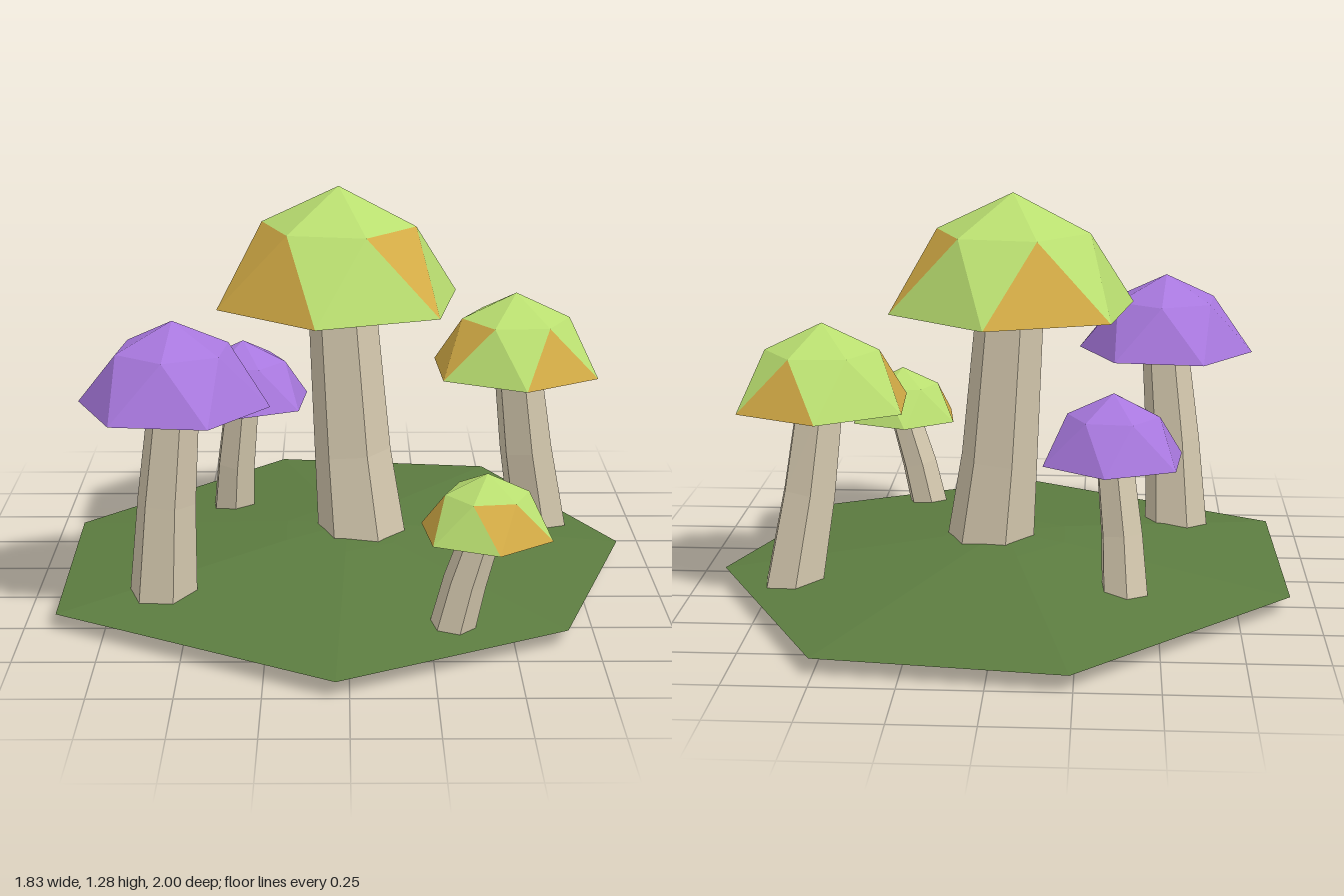
import * as THREE from 'three';

const SIDES = 6;

// Flat-shaded geometry from a list of triangles, each of three Vector3 corners
function facets(triangles) {
  const geometry = new THREE.BufferGeometry().setFromPoints(triangles.flat());
  geometry.computeVertexNormals();
  return geometry;
}

// Six points round a centre; degrees run from +x towards +z, and the ring tips with the lean
function ring([x, y, z], radius, degrees, lean = [0, 0]) {
  return Array.from({ length: SIDES }, (_, i) => {
    const a = THREE.MathUtils.degToRad(degrees + i * 60);
    const dx = radius * Math.cos(a), dz = radius * Math.sin(a);
    return new THREE.Vector3(x + dx, y - dx * lean[0] - dz * lean[1], z + dz);
  });
}

// Faceted dome: apex fan, then alternating up and down triangles to the rim
// upPatches and downPatches list the rim triangles that take the second colour
function makeCap({ centre: [x, z], base, top, radius, turn, upPatches = [], downPatches = [] }, colour, patch, gill) {
  const rim = ring([x, base, z], radius, turn);
  const mid = ring([x, base + (top - base) * 0.67, z], radius * 0.61, turn + 30);
  const apex = new THREE.Vector3(x, top, z);
  const under = new THREE.Vector3(x, base, z);
  const plain = [], patches = [], gills = [];
  for (let i = 0; i < SIDES; i++) {
    const next = (i + 1) % SIDES, prev = (i + SIDES - 1) % SIDES;
    plain.push([apex, mid[next], mid[i]]);
    (upPatches.includes(i) ? patches : plain).push([mid[i], rim[next], rim[i]]);
    (downPatches.includes(i) ? patches : plain).push([rim[i], mid[prev], mid[i]]);
    gills.push([under, rim[i], rim[next]]);
  }
  const group = new THREE.Group();
  group.name = 'cap';
  const add = (name, triangles, material) => {
    if (!triangles.length) return;
    const mesh = new THREE.Mesh(facets(triangles), material);
    mesh.name = name;
    group.add(mesh);
  };
  add('capDome', plain, colour);
  add('capPatches', patches, patch);
  add('capUnderside', gills, gill);
  return group;
}

// Hollow, slightly bent six-sided stem through three rings: [x, y, z, radius]
function makeStem(sections, turn, material) {
  const [first, , last] = sections;
  const rise = last[1] - first[1];
  const lean = [(last[0] - first[0]) / rise, (last[2] - first[2]) / rise];
  const rings = sections.map((s, k) => ring(s, s[3], turn, k === 2 ? [0, 0] : lean));
  const triangles = [];
  for (let k = 0; k < 2; k++) {
    for (let i = 0; i < SIDES; i++) {
      const n = (i + 1) % SIDES;
      triangles.push([rings[k][i], rings[k + 1][i], rings[k][n]]);
      triangles.push([rings[k][n], rings[k + 1][i], rings[k + 1][n]]);
    }
  }
  const mesh = new THREE.Mesh(facets(triangles), material);
  mesh.name = 'stem';
  return mesh;
}

// Low seven-sided mound of grass
function makeGround(material) {
  const outline = [[-0.24, -1], [0.51, -0.91], [0.91, -0.11], [0.66, 0.64], [-0.04, 1], [-0.9, 0.51], [-0.915, -0.3]];
  const edge = outline.map(([x, z]) => new THREE.Vector3(x, 0.058, z));
  const inner = outline.map(([x, z]) => new THREE.Vector3(x * 0.22, 0.15, z * 0.22));
  const peak = new THREE.Vector3(0, 0.165, 0);
  const triangles = [];
  outline.forEach((_, i) => {
    const n = (i + 1) % outline.length;
    triangles.push([peak, inner[n], inner[i]], [inner[i], inner[n], edge[i]], [edge[i], inner[n], edge[n]]);
  });
  const mesh = new THREE.Mesh(facets(triangles), material);
  mesh.name = 'ground';
  return mesh;
}

export function createModel() {
  const paint = (name, color, side = THREE.FrontSide) => {
    const material = new THREE.MeshStandardMaterial({ color, flatShading: true, side });
    material.name = name;
    return material;
  };
  const grass = paint('grass green', 0x5c7c40, THREE.DoubleSide);
  const cream = paint('stem cream', 0xd3c7ad, THREE.DoubleSide);
  const lime = paint('cap lime', 0xb9de70);
  const amber = paint('cap amber', 0xd4ac46);
  const violet = paint('cap violet', 0xa878de);
  const gill = paint('gill brown', 0x968a7d);

  const mushrooms = [
    {
      name: 'tallMushroom', colour: lime, stemTurn: 8,
      stem: [[0.055, 0.04, 0.01, 0.15], [0.015, 0.42, -0.01, 0.125], [-0.02, 0.925, -0.025, 0.11]],
      cap: { centre: [-0.03, -0.03], base: 0.92, top: 1.29, radius: 0.41, turn: -20, upPatches: [2, 4], downPatches: [0, 1, 3] },
    },
    {
      name: 'leftMushroom', colour: lime, stemTurn: 20,
      stem: [[0.66, 0.032, -0.27, 0.1], [0.605, 0.36, -0.235, 0.09], [0.57, 0.645, -0.215, 0.082]],
      cap: { centre: [0.56, -0.21], base: 0.64, top: 0.9, radius: 0.295, turn: 27, upPatches: [0, 2, 4], downPatches: [2] },
    },
    {
      name: 'smallFrontMushroom', colour: lime, stemTurn: 15,
      stem: [[0.3, 0.025, 0.635, 0.068], [0.345, 0.22, 0.645, 0.063], [0.395, 0.39, 0.655, 0.06]],
      cap: { centre: [0.405, 0.67], base: 0.385, top: 0.567, radius: 0.205, turn: 23, upPatches: [0, 2], downPatches: [1] },
    },
    {
      name: 'rightMushroom', colour: violet, stemTurn: 10,
      stem: [[-0.58, 0.03, 0.39, 0.11], [-0.56, 0.39, 0.4, 0.092], [-0.53, 0.705, 0.41, 0.08]],
      cap: { centre: [-0.53, 0.405], base: 0.7, top: 0.96, radius: 0.295, turn: 6 },
    },
    {
      name: 'smallBackMushroom', colour: violet, stemTurn: 25,
      stem: [[-0.4, 0.026, -0.385, 0.08], [-0.385, 0.27, -0.345, 0.07], [-0.36, 0.505, -0.315, 0.063]],
      cap: { centre: [-0.355, -0.315], base: 0.5, top: 0.71, radius: 0.235, turn: 36 },
    },
  ];

  const model = new THREE.Group();
  model.name = 'mushroomPatch';
  model.add(makeGround(grass));
  for (const { name, colour, stem, stemTurn, cap } of mushrooms) {
    const mushroom = new THREE.Group();
    mushroom.name = name;
    mushroom.add(makeStem(stem, stemTurn, cream), makeCap(cap, colour, amber, gill));
    model.add(mushroom);
  }
  return model;
}
